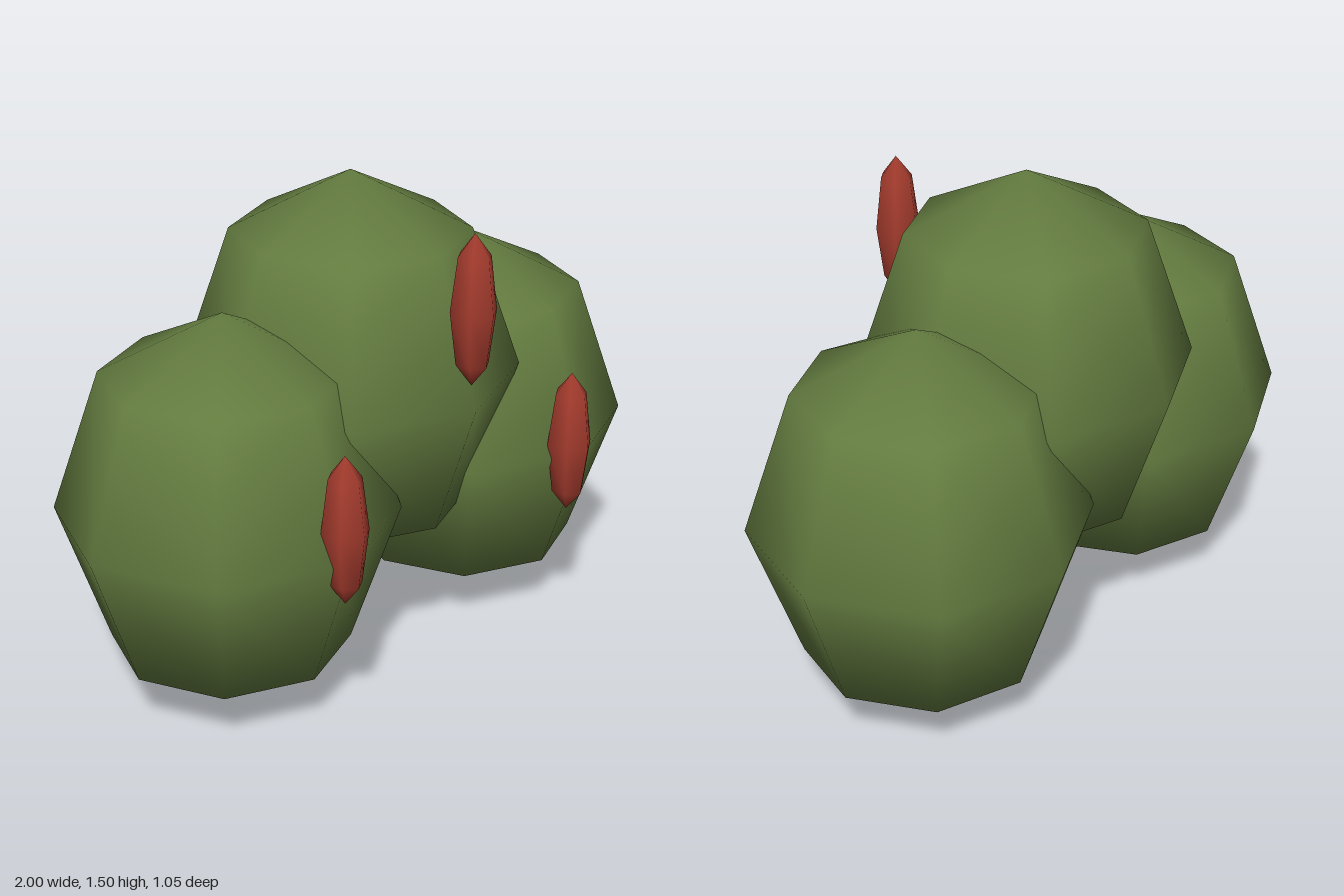
import * as THREE from 'three';

export function createModel() {
  const model = new THREE.Group();
  const green = new THREE.MeshStandardMaterial({ color: 0x647c40 });
  green.name = 'padGreen';
  const red = new THREE.MeshStandardMaterial({ color: 0xa63c2e });
  red.name = 'fruitRed';

  const padGeometry = new THREE.SphereGeometry(1, 8, 4);
  // Hexagonal fruit with a corner facing forward
  const fruitGeometry = new THREE.SphereGeometry(1, 6, 4).rotateY(Math.PI / 2);

  function add(name, geometry, material, position, scale) {
    const mesh = new THREE.Mesh(geometry, material);
    mesh.name = name;
    mesh.position.set(...position);
    mesh.scale.set(...scale);
    model.add(mesh);
  }

  // Three overlapping egg-shaped pads, each with one spindle-shaped fruit in front
  const parts = [
    { side: 'right', pad: [-0.5, 0.6], fruit: [-0.5, 0.7] },
    { side: 'centre', pad: [0, 0.9], fruit: [0, 1.2] },
    { side: 'left', pad: [0.5, 0.6], fruit: [0.45, 0.65] },
  ];
  for (const { side, pad, fruit } of parts) {
    add(side + 'Pad', padGeometry, green, [...pad, -0.027], [0.5, 0.6, 0.5]);
    add(side + 'Fruit', fruitGeometry, red, [...fruit, 0.453], [0.065, 0.225, 0.074]);
  }
  return model;
}
